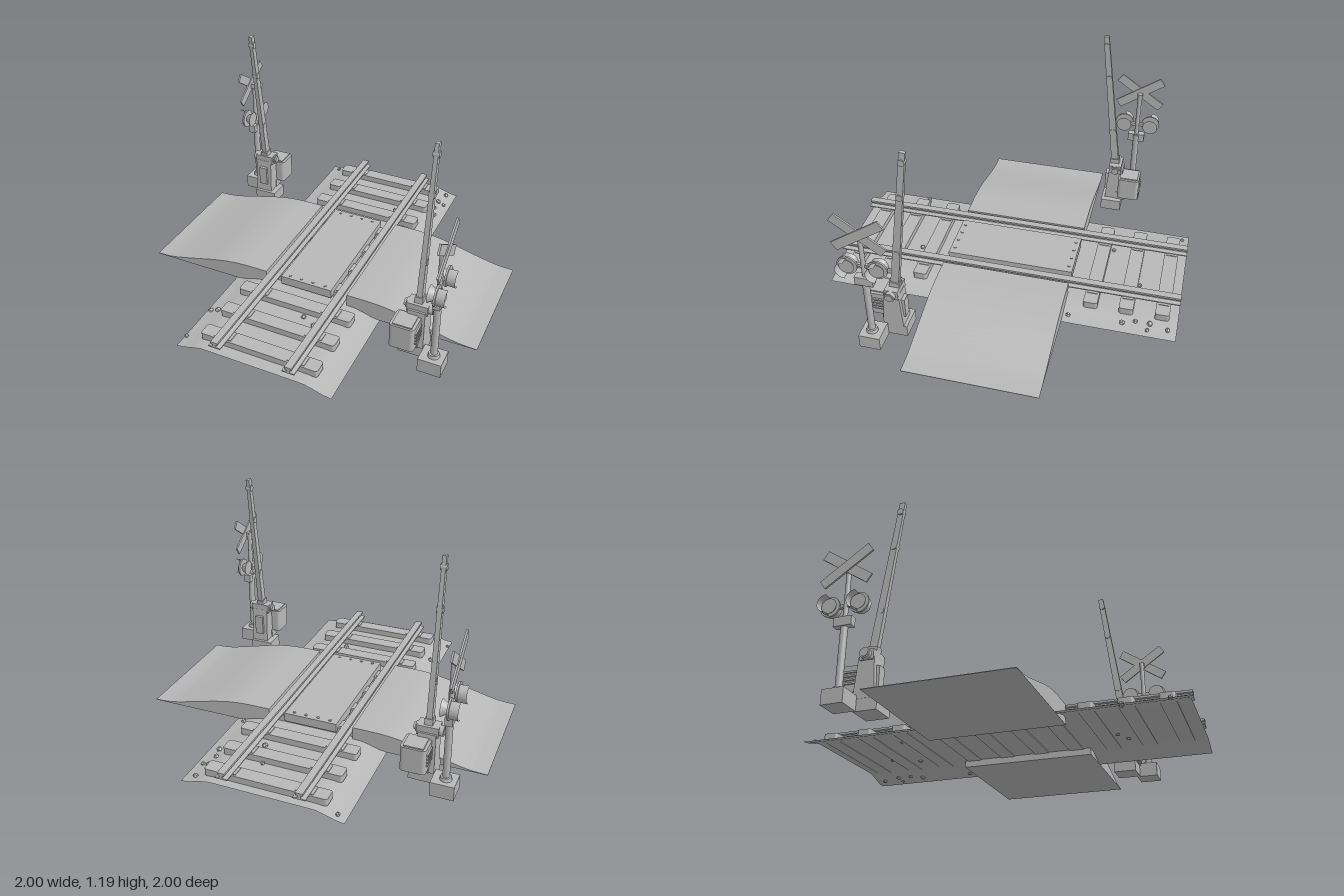
import * as THREE from 'three';

const grey = new THREE.MeshStandardMaterial({ color: 0xb8b8b8, side: THREE.DoubleSide });
grey.name = 'plain grey';

function add(parent, name, geo, x = 0, y = 0, z = 0) {
  const m = new THREE.Mesh(geo, grey);
  m.name = name;
  m.position.set(x, y, z);
  parent.add(m);
  return m;
}
const box = (w, h, d) => new THREE.BoxGeometry(w, h, d);
// box given by its limits on each axis
const span = (p, name, x0, x1, y0, y1, z0, z1) =>
  add(p, name, box(x1 - x0, y1 - y0, z1 - z0), (x0 + x1) / 2, (y0 + y1) / 2, (z0 + z1) / 2);
const cylY = (r0, r1, h, n = 16) => new THREE.CylinderGeometry(r0, r1, h, n);
const cylX = (r0, r1, h, n = 20) => cylY(r0, r1, h, n).rotateZ(-Math.PI / 2);

// side profile in x/y extruded along z, centred
function extrudeZ(points, depth) {
  const s = new THREE.Shape(points.map(p => new THREE.Vector2(...p)));
  return new THREE.ExtrudeGeometry(s, { depth, bevelEnabled: false }).translate(0, 0, -depth / 2);
}

// box whose top is scaled about its centre
function taperedBox(w, h, d, sx, sz) {
  const g = box(w, h, d), p = g.attributes.position;
  for (let i = 0; i < p.count; i++)
    if (p.getY(i) > 0) { p.setX(i, p.getX(i) * sx); p.setZ(i, p.getZ(i) * sz); }
  g.computeVertexNormals();
  return g;
}

// upright box with rounded corners in plan
function roundedColumn(w, h, d, r) {
  const s = new THREE.Shape(), a = w / 2 - r, b = d / 2 - r;
  s.absarc(a, b, r, 0, Math.PI / 2);
  s.absarc(-a, b, r, Math.PI / 2, Math.PI);
  s.absarc(-a, -b, r, Math.PI, Math.PI * 1.5);
  s.absarc(a, -b, r, Math.PI * 1.5, Math.PI * 2);
  return new THREE.ExtrudeGeometry(s, { depth: h, bevelEnabled: false, curveSegments: 4 })
    .rotateX(-Math.PI / 2).translate(0, -h / 2, 0);
}

function createTrack() {
  const g = new THREE.Group();
  g.name = 'track';
  // ballast sheet, arched across the track
  const bed = new THREE.PlaneGeometry(0.9, 2, 18, 1).rotateX(-Math.PI / 2);
  const p = bed.attributes.position;
  for (let i = 0; i < p.count; i++)
    p.setY(i, 0.037 * THREE.MathUtils.smoothstep(0.45 - Math.abs(p.getX(i)), 0, 0.17));
  bed.computeVertexNormals();
  add(g, 'ballastBed', bed);

  for (let i = 0; i < 10; i++) {
    const z = -0.91 + i * 0.2;
    add(g, 'sleeper', roundedColumn(0.68, 0.04, 0.08, 0.015), 0, 0.053, z);
    for (const x of [-0.213, 0.213]) add(g, 'railPlate', box(0.1, 0.006, 0.06), x, 0.074, z);
  }
  const half = [[0.035, 0.075], [0.035, 0.081], [0.009, 0.085], [0.009, 0.097], [0.02, 0.1], [0.02, 0.112]];
  const rail = [...half, ...half.map(([x, y]) => [-x, y]).reverse()];
  for (const x of [-0.213, 0.213]) add(g, 'rail', extrudeZ(rail, 2), x);

  // deck between the rails, with bolts
  span(g, 'crossingDeck', -0.155, 0.155, 0.055, 0.106, -0.37, 0.37);
  for (const z of [-0.345, 0.345])
    for (let i = 0; i < 4; i++)
      add(g, 'deckBolt', cylY(0.009, 0.009, 0.006, 8), -0.11 + i * 0.072, 0.108, z);

  // loose stones: x, z
  const stones = [[-0.4, -0.96], [0.39, -0.95], [0.37, -0.85], [0.41, -0.84], [0.37, -0.77], [0.39, -0.7],
    [0.1, -0.76], [0.4, -0.4], [0.16, -0.61], [-0.17, -0.57], [-0.43, 0.69], [-0.39, 0.68], [-0.44, 0.92],
    [0.08, 0.56], [0.16, 0.6]];
  stones.forEach(([x, z], i) => {
    const y = 0.037 * THREE.MathUtils.smoothstep(0.45 - Math.abs(x), 0, 0.17);
    add(g, 'stone', new THREE.DodecahedronGeometry(0.012 + (i % 3) * 0.002), x, y + 0.005, z).rotation.set(i, i * 2, 0);
  });
  return g;
}

function createRamp() {
  const top = new THREE.SplineCurve([[1, 0.003], [0.9, 0.009], [0.8, 0.03], [0.7, 0.055], [0.6, 0.08],
    [0.5, 0.099], [0.4, 0.108], [0.25, 0.109]].map(p => new THREE.Vector2(...p)));
  const pts = top.getPoints(24).map(v => [v.x, v.y]);
  return extrudeZ([[0.25, 0], [1, 0], ...pts], 0.74);
}

function createSignal() {
  const g = new THREE.Group();
  g.name = 'warningSignal';
  const px = 0.83, pz = 0.583;
  span(g, 'signalFooting', 0.762, 0.888, 0, 0.08, 0.522, 0.64);
  add(g, 'poleFlange', cylY(0.028, 0.032, 0.02), px, 0.09, pz);
  add(g, 'lowerPole', cylY(0.019, 0.019, 0.37), px, 0.265, pz);
  add(g, 'upperPole', cylY(0.013, 0.013, 0.33), px, 0.59, pz);
  add(g, 'poleCollar', cylY(0.023, 0.023, 0.03), px, 0.45, pz);
  add(g, 'junctionPlate', box(0.04, 0.05, 0.1), px + 0.005, 0.447, pz);

  // crossed boards
  for (const s of [-1, 1])
    add(g, 'crossBoard', box(0.01, 0.054, 0.315), 0.853 + s * 0.003, 0.755, pz).rotation.x = s * 0.6;
  add(g, 'boardBracket', box(0.025, 0.03, 0.03), 0.84, 0.74, pz);

  // pair of lamps with hoods
  add(g, 'lampBar', box(0.016, 0.018, 0.16), 0.83, 0.54, pz);
  for (const s of [-1, 1]) {
    const z = pz + s * 0.081;
    add(g, 'lampHousing', cylX(0.022, 0.046, 0.035), 0.823, 0.54, z);
    add(g, 'lampDisc', cylX(0.055, 0.055, 0.01, 24), 0.845, 0.54, z);
    add(g, 'lampLens', cylX(0.042, 0.036, 0.01), 0.854, 0.54, z);
    const hood = new THREE.CylinderGeometry(0.048, 0.046, 0.046, 20, 1, true, 0, Math.PI).rotateZ(-Math.PI / 2);
    hood.rotateX(-Math.PI / 2);
    hood.computeBoundingBox();
    // keep the arch above the lens
    if (hood.boundingBox.max.y < 0.02) hood.rotateX(Math.PI);
    add(g, 'lampHood', hood, 0.872, 0.54, z);
  }
  return g;
}

function createGate() {
  const g = new THREE.Group();
  g.name = 'barrierGate';
  span(g, 'gateFooting', 0.62, 0.757, 0, 0.07, 0.415, 0.54);
  add(g, 'gateHousing', taperedBox(0.104, 0.22, 0.115, 0.92, 0.75), 0.706, 0.175, 0.49);
  add(g, 'motorCabinet', roundedColumn(0.135, 0.14, 0.13, 0.02), 0.668, 0.185, 0.58);
  span(g, 'cabinetLid', 0.615, 0.72, 0.253, 0.262, 0.525, 0.635);
  span(g, 'cabinetMount', 0.65, 0.73, 0.07, 0.12, 0.5, 0.56);
  for (let i = 0; i < 4; i++)
    span(g, 'cabinetLouvre', 0.733, 0.744, 0.155 + i * 0.02, 0.165 + i * 0.02, 0.545, 0.625);

  // pivot
  add(g, 'pivotHead', box(0.115, 0.055, 0.075), 0.705, 0.292, 0.485);
  add(g, 'pivotDrum', cylX(0.028, 0.028, 0.145), 0.712, 0.292, 0.487);
  add(g, 'pivotCap', cylX(0.02, 0.02, 0.16), 0.708, 0.292, 0.487);
  span(g, 'housingDoor', 0.68, 0.732, 0.12, 0.24, 0.425, 0.455);

  // raised arm, leaning towards the road
  const arm = new THREE.Group();
  arm.name = 'barrierArm';
  arm.position.set(0.705, 0.29, 0.482);
  arm.rotation.x = -0.127;
  add(arm, 'armBeam', taperedBox(0.032, 0.9, 0.046, 0.65, 0.68), 0, 0.45, 0);
  add(arm, 'armClamp', box(0.044, 0.07, 0.055), 0, 0.025, 0);
  for (const y of [0.26, 0.63, 0.842])
    add(arm, 'armLamp', cylX(0.018, 0.018, 0.034, 14), 0, y, 0);
  g.add(arm);
  return g;
}

export function createModel() {
  const model = new THREE.Group();
  model.name = 'levelCrossing';
  model.add(createTrack());
  // road approach, signal and gate repeat on each side by a half turn
  for (const turn of [0, Math.PI]) {
    const side = new THREE.Group();
    side.name = turn ? 'rightApproach' : 'leftApproach';
    add(side, 'roadRamp', createRamp());
    side.add(createSignal(), createGate());
    side.rotation.y = turn;
    model.add(side);
  }
  return model;
}
